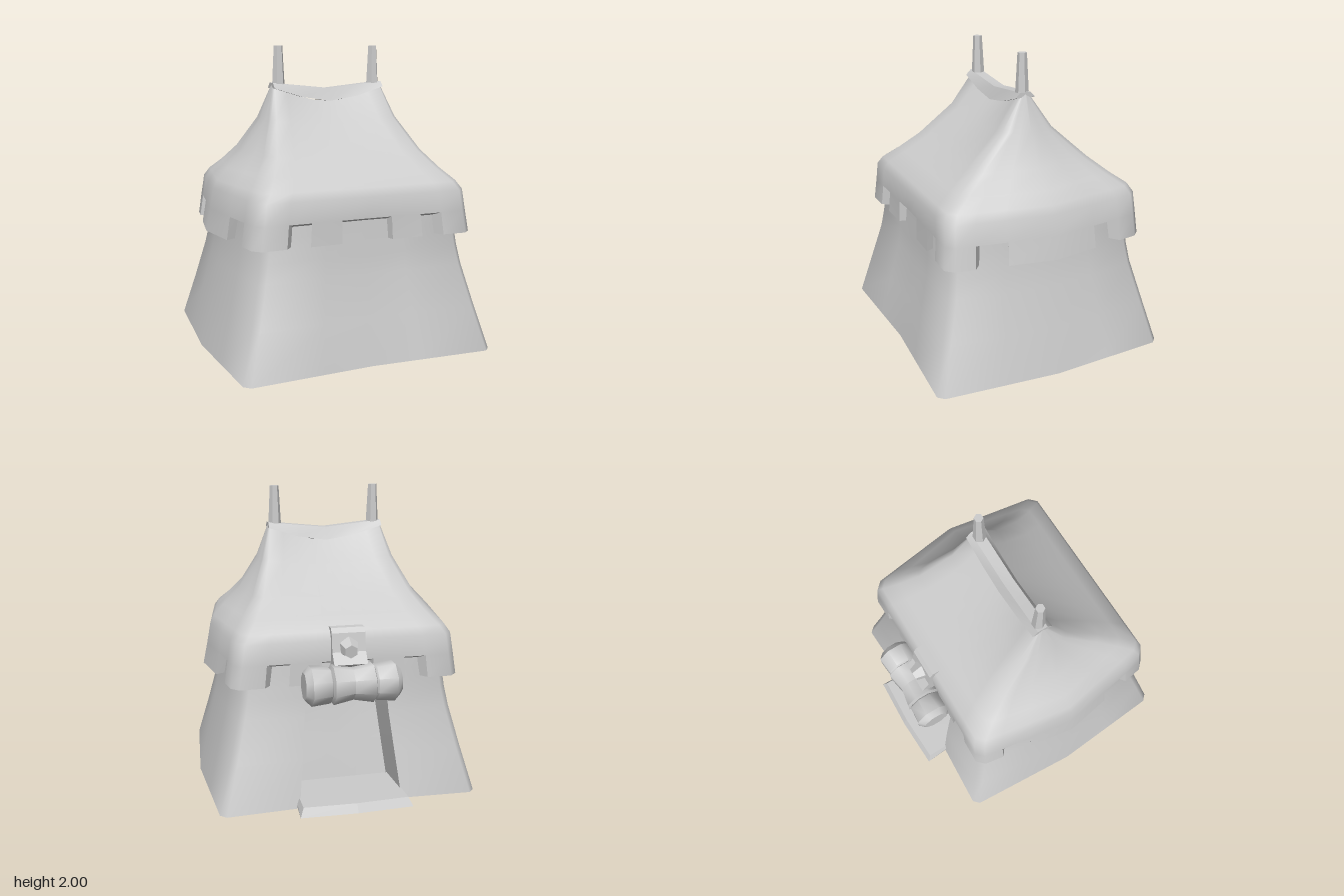
import * as THREE from 'three';
import { toCreasedNormals } from 'three/addons/utils/BufferGeometryUtils.js';
import { ConvexGeometry } from 'three/addons/geometries/ConvexGeometry.js';

const canvas = new THREE.MeshStandardMaterial({ color: 0xcccccc, side: THREE.DoubleSide });
canvas.name = 'pale grey';

function addMesh(group, name, geometry) {
  const mesh = new THREE.Mesh(geometry, canvas);
  mesh.name = name;
  group.add(mesh);
  return mesh;
}

// Turns a list of four-cornered faces into a geometry with creased normals
function fromQuads(quads, crease) {
  const pos = [];
  for (const [a, b, c, d] of quads) for (const p of [a, b, c, a, c, d]) pos.push(...p);
  const g = new THREE.BufferGeometry();
  g.setAttribute('position', new THREE.Float32BufferAttribute(pos, 3));
  return toCreasedNormals(g, crease);
}

// Horizontal outline: sides 0 front, 1 right, 2 back, 3 left; t runs -1..1 on each
function ring([y, hx, bulge, zf, zb, chamfer, bow = 0, sag = 0], colsX, colsZ) {
  const zc = (zf + zb) / 2, hz = (zf - zb) / 2;
  const pts = [];
  for (let s = 0; s < 4; s++) {
    const sign = s < 2 ? 1 : -1;
    for (const t of s % 2 ? colsZ : colsX) {
      const m = 1 - Math.abs(t);
      if (s % 2) pts.push([sign * (hx + bulge * m), y, zc - sign * t * (hz - chamfer)]);
      else pts.push([sign * t * (hx - chamfer), y - sag * (1 - t * t), zc + sign * (hz - bow * m)]);
    }
  }
  return pts;
}

// Describes the strip between outline points i and i + 1
function columns(colsX, colsZ) {
  const out = [];
  for (let s = 0; s < 4; s++) {
    const cols = s % 2 ? colsZ : colsX;
    cols.forEach((t, i) => out.push({ side: s, t: i < cols.length - 1 ? Math.abs(t + cols[i + 1]) / 2 : 1 }));
  }
  return out;
}

function skin(rings, cols, skip) {
  const quads = [];
  for (let r = 0; r < rings.length - 1; r++) {
    cols.forEach((c, i) => {
      const j = (i + 1) % cols.length;
      if (!skip(c, r)) quads.push([rings[r][i], rings[r][j], rings[r + 1][j], rings[r + 1][i]]);
    });
  }
  return quads;
}

function buildWalls(group) {
  const colsX = [-1, -0.42, 0, 0.42, 1], colsZ = [-1, -0.5, 0, 0.5, 1];
  const cols = columns(colsX, colsZ);
  const rings = [
    [0, 0.855, 0.055, 0.885, -0.74, 0.04, 0.04],
    [0.3, 0.775, 0.07, 0.81, -0.665, 0.04, 0.02],
    [0.57, 0.71, 0.075, 0.74, -0.595, 0.04, 0.01],
    [0.7, 0.685, 0.075, 0.72, -0.575, 0.04],
    [0.85, 0.665, 0.075, 0.705, -0.56, 0.04],
    [1.05, 0.65, 0.07, 0.69, -0.545, 0.04],
  ].map((p) => ring(p, colsX, colsZ));
  const isDoor = (c, r) => c.side === 2 && c.t < 0.42 && r < 3;
  addMesh(group, 'tentWalls', fromQuads(skin(rings, cols, isDoor), 1));

  // Recessed doorway behind the opening
  const first = cols.findIndex((c) => c.side === 2 && c.t < 0.42);
  const inset = ([x, y, z]) => [x * 0.97, y, z + 0.29];
  const quads = [];
  for (let r = 0; r < 3; r++) {
    const lo = rings[r], hi = rings[r + 1];
    for (const i of [first, first + 1])
      quads.push([inset(lo[i]), inset(lo[i + 1]), inset(hi[i + 1]), inset(hi[i])]);
    const l = first, e = first + 2;
    quads.push([lo[l], inset(lo[l]), inset(hi[l]), hi[l]]);
    quads.push([inset(lo[e]), lo[e], hi[e], inset(hi[e])]);
  }
  const top = rings[3];
  for (const i of [first, first + 1]) quads.push([inset(top[i]), inset(top[i + 1]), top[i + 1], top[i]]);
  addMesh(group, 'doorway', fromQuads(quads, 0.5));
}

function buildRoof(group) {
  const colsX = [-1, -0.77, -0.55, -0.25, 0, 0.25, 0.55, 0.77, 1];
  const colsZ = [-1, -0.8, -0.48, 0, 0.48, 0.8, 1];
  const cols = columns(colsX, colsZ), n = cols.length;
  const params = [
    [0.79, 0.75, 0.11, 0.77, -0.62, 0.05, 0.02],
    [0.935, 0.73, 0.1, 0.755, -0.61, 0.05, 0.01],
    [1.07, 0.71, 0.095, 0.745, -0.6, 0.05],
    [1.125, 0.675, 0.105, 0.715, -0.57, 0.05],
    [1.2, 0.61, 0.1, 0.61, -0.465, 0.045],
    [1.31, 0.535, 0.065, 0.47, -0.33, 0.04, 0, 0.01],
    [1.52, 0.45, 0.025, 0.245, -0.105, 0.03, 0, 0.04],
    [1.74, 0.39, 0.005, 0.1, 0.04, 0.01, 0, 0.11],
  ];
  const rings = params.map((p) => ring(p, colsX, colsZ));
  const isNotch = (c) => (c.side % 2 ? c.t > 0.48 && c.t < 0.8 : c.t < 0.25 || (c.t > 0.55 && c.t < 0.77));
  addMesh(group, 'tentRoof', fromQuads(skin(rings, cols, (c, r) => r === 0 && isNotch(c)), 1.1));

  // Thickness of the notched hem
  const inner = [[0.79, 0], [0.91, 1]].map(([y, k]) => {
    const [, hx, b, zf, zb, ch, bow] = params[k];
    return ring([y, hx - 0.06, b, zf - 0.06, zb + 0.06, ch, bow], colsX, colsZ);
  });
  const quads = [];
  cols.forEach((c, i) => {
    const j = (i + 1) % n, k = isNotch(c) ? 1 : 0;
    quads.push([inner[k][i], inner[k][j], rings[k][j], rings[k][i]]);
    if (!k) quads.push([inner[0][j], inner[0][i], inner[1][i], inner[1][j]]);
    // Cut faces where a notch starts or ends
    if (isNotch(c) !== isNotch(cols[j])) {
      const face = [rings[0][j], inner[0][j], inner[1][j], rings[1][j]];
      quads.push(isNotch(c) ? face.reverse() : face);
    }
  });
  addMesh(group, 'roofHem', fromQuads(quads, 0.4));
}

function buildRidge(group) {
  // Sagging cap along the top
  const sections = [-1, -0.5, 0, 0.5, 1].map((t) => {
    const x = t * 0.395, lo = 1.63 + 0.09 * Math.pow(Math.abs(t), 1.6), hi = 1.715 + 0.04 * Math.abs(t);
    return [[x, lo, 0.14], [x, hi, 0.105], [x, hi, 0.035], [x, lo, 0]];
  });
  const quads = [];
  for (let s = 0; s < 4; s++) {
    for (let k = 0; k < 4; k++) {
      const m = (k + 1) % 4, a = sections[s], b = sections[s + 1];
      quads.push([a[k], b[k], b[m], a[m]]);
    }
  }
  quads.push(sections[0], [...sections[4]].reverse());
  addMesh(group, 'ridgeCap', fromQuads(quads, 0.5));

  // Pole tips
  for (const side of [-1, 1]) {
    const pole = addMesh(group, 'poleTip', toCreasedNormals(new THREE.CylinderGeometry(0.03, 0.046, 0.3, 6), 0.5));
    pole.position.set(side * 0.345, 1.85, 0.07);
    pole.rotation.y = Math.PI / 6;
  }
}

function buildBackDetails(group) {
  // Door step with a bevelled, slightly pointed front
  const step = [];
  for (const [y, w, d] of [[0.01, 0.37, 0], [0.065, 0.345, 0.03]]) {
    step.push([-w, y, -0.875 + d], [0, y, -0.89 + d], [w, y, -0.875 + d], [0.34, y, -0.44], [-0.34, y, -0.44]);
  }
  addMesh(group, 'doorStep', new ConvexGeometry(step.map((p) => new THREE.Vector3(...p))));

  // Rolled cloth above the door
  const half = [[0, 0.31], [0.09, 0.31], [0.13, 0.27], [0.118, 0.15], [0.105, 0.14], [0.13, 0.13]];
  const profile = [
    ...half.map(([r, h]) => new THREE.Vector2(r, -h)),
    new THREE.Vector2(0.105, 0),
    ...[...half].reverse().map(([r, h]) => new THREE.Vector2(r, h)),
  ];
  const roll = addMesh(group, 'clothRoll', toCreasedNormals(new THREE.LatheGeometry(profile, 8, Math.PI / 8), 0.8));
  roll.rotation.z = Math.PI / 2;
  roll.position.set(0, 0.815, -0.705);

  // Strap holding the roll; the shape is drawn with depth to the back and height
  const outline = [[0.52, 1.15], [0.59, 1.15], [0.615, 1.12], [0.635, 1.0], [0.69, 0.93], [0.65, 0.88], [0.58, 0.9], [0.56, 1.08]];
  const strapGeo = new THREE.ExtrudeGeometry(
    new THREE.Shape(outline.map(([z, y]) => new THREE.Vector2(z, y))), { depth: 0.22, bevelEnabled: false });
  const strap = addMesh(group, 'rollStrap', toCreasedNormals(strapGeo, 0.5));
  strap.rotation.y = Math.PI / 2;
  strap.position.x = -0.11;

  // Button on the strap
  const button = addMesh(group, 'strapButton', toCreasedNormals(new THREE.CylinderGeometry(0.045, 0.072, 0.08, 6), 0.4));
  button.rotation.x = -Math.PI / 2 - 0.15;
  button.position.set(0, 1.02, -0.65);
}

export function createModel() {
  const tent = new THREE.Group();
  tent.name = 'tent';
  buildWalls(tent);
  buildRoof(tent);
  buildRidge(tent);
  buildBackDetails(tent);
  return tent;
}
